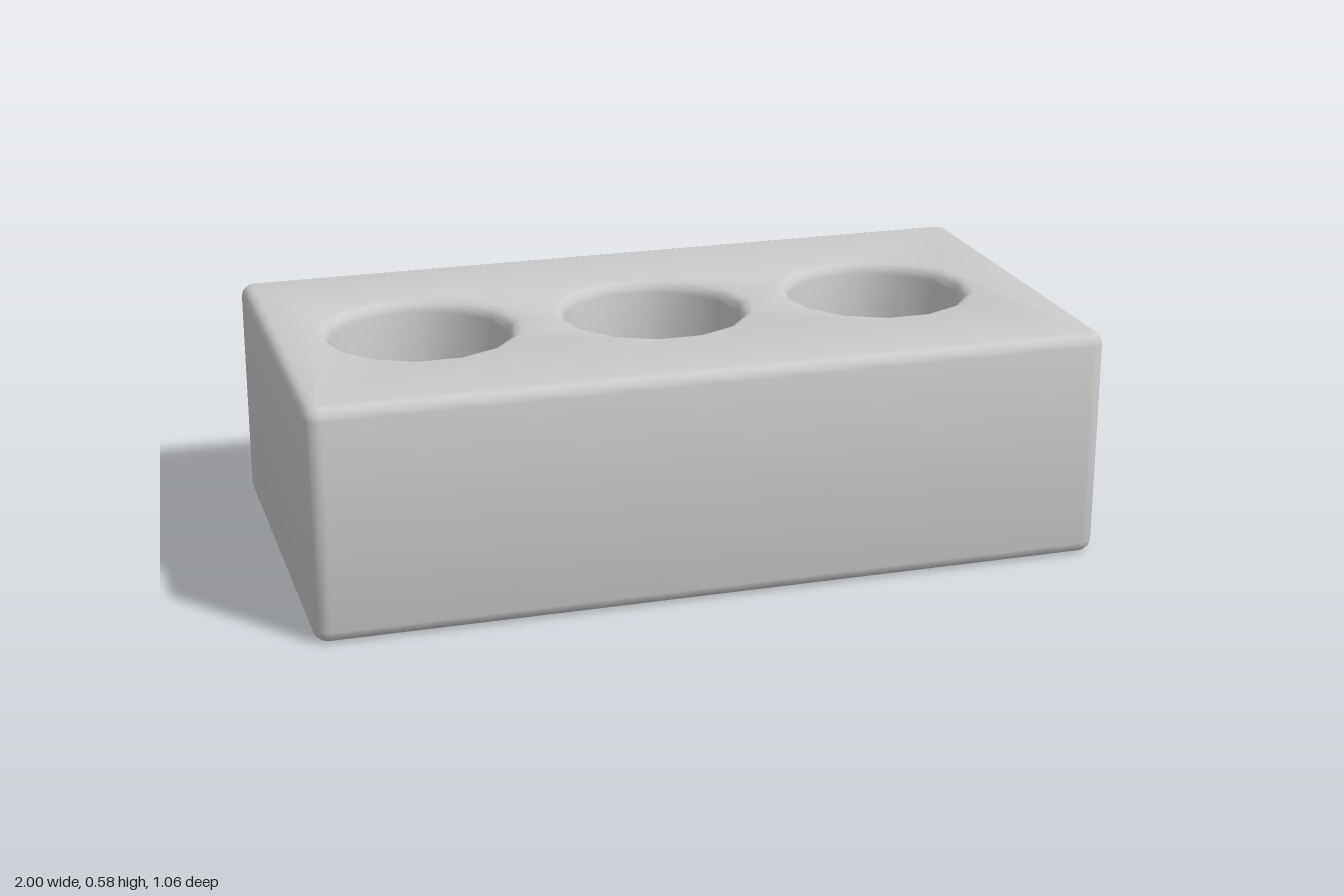
import * as THREE from 'three';
import { toCreasedNormals } from 'three/addons/utils/BufferGeometryUtils.js';

const HALF_X = 1, HALF_Z = 0.53, HEIGHT = 0.585;
const CORNER = 0.04, BEVEL = 0.03;
const HOLE_RADIUS = 0.23, HOLE_SIDES = 14, HOLE_CENTRES = [-0.625, -0.02, 0.585];

// Rectangle with rounded corners
function roundedRectangle(hx, hy, r) {
  const shape = new THREE.Shape();
  shape.absarc(hx - r, hy - r, r, 0, Math.PI / 2);
  shape.absarc(-hx + r, hy - r, r, Math.PI / 2, Math.PI);
  shape.absarc(-hx + r, -hy + r, r, Math.PI, Math.PI * 1.5);
  shape.absarc(hx - r, -hy + r, r, Math.PI * 1.5, Math.PI * 2);
  shape.closePath();
  return shape;
}

// Low-sided round hole
function polygonHole(cx, radius, sides) {
  const points = [];
  for (let i = 0; i < sides; i++) {
    const a = -(i / sides) * Math.PI * 2;
    points.push(new THREE.Vector2(cx + Math.cos(a) * radius, Math.sin(a) * radius));
  }
  return new THREE.Path(points);
}

export function createModel() {
  const model = new THREE.Group();
  model.name = 'brick';

  // Block pierced by three holes, all rims softly rounded
  const outline = roundedRectangle(HALF_X, HALF_Z, CORNER);
  for (const x of HOLE_CENTRES) outline.holes.push(polygonHole(x, HOLE_RADIUS, HOLE_SIDES));

  const geometry = new THREE.ExtrudeGeometry(outline, {
    depth: HEIGHT - 2 * BEVEL,
    curveSegments: 3,
    bevelEnabled: true,
    bevelSize: BEVEL,
    bevelThickness: BEVEL,
    bevelOffset: -BEVEL,
    bevelSegments: 3,
  });
  geometry.rotateX(-Math.PI / 2);
  geometry.translate(0, BEVEL, 0);

  const body = new THREE.Mesh(
    toCreasedNormals(geometry, 0.75),
    new THREE.MeshStandardMaterial({ color: 0xcccccc })
  );
  body.name = 'brickBody';
  model.add(body);
  return model;
}
